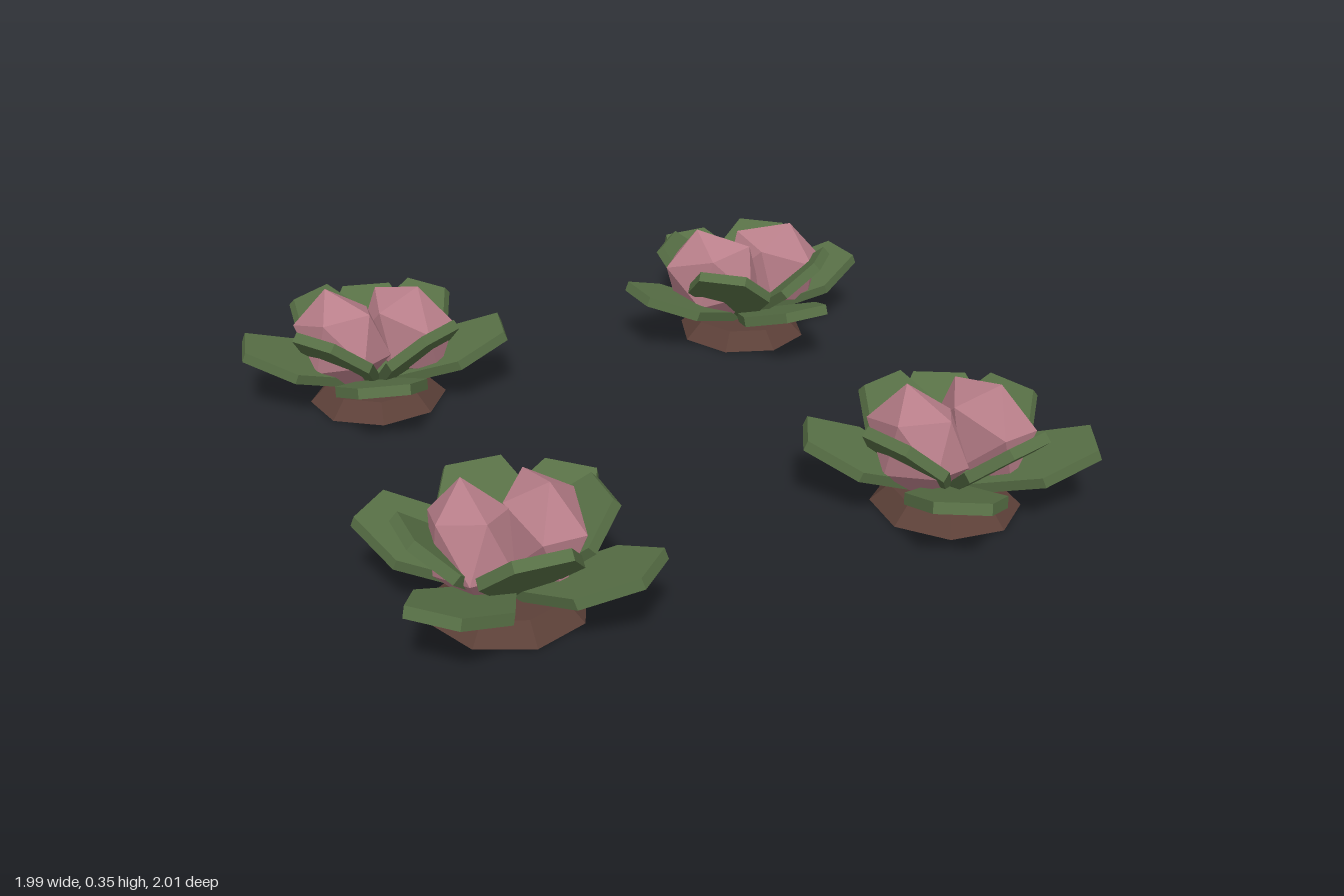
import * as THREE from 'three';

const rad = THREE.MathUtils.degToRad;
const material = (name, color) => {
  const m = new THREE.MeshStandardMaterial({ color, flatShading: true });
  m.name = name;
  return m;
};

// Flat six-sided leaf growing out from the centre toward +z and rising by `tilt` degrees
function leafGeometry(length, widestAt, tilt) {
  const thickness = 0.03;
  const shape = new THREE.Shape([
    [-0.03, 0], [0.03, 0], [0.13, widestAt], [0.072, length], [-0.072, length], [-0.13, widestAt],
  ].map(([x, y]) => new THREE.Vector2(x, y)));
  const g = new THREE.ExtrudeGeometry(shape, { depth: thickness, bevelEnabled: false });
  g.translate(0, 0, -thickness);
  g.rotateX(rad(90 - tilt));
  g.translate(0, 0.04, 0.03);
  return g;
}

// Faceted bud, long along z, with a ridge on top
function budGeometry(pitch) {
  const g = new THREE.IcosahedronGeometry(1, 0);
  g.rotateY(Math.PI / 2);
  g.scale(0.108, 0.155, 0.165);
  g.rotateX(rad(pitch));
  return g;
}

export function createModel() {
  const green = material('leaf green', 0x587046);
  const pink = material('bud pink', 0xb97f8a);
  const brown = material('soil brown', 0x5c4038);

  const outerLeaf = leafGeometry(0.38, 0.225, 21.5);
  const innerLeaf = leafGeometry(0.32, 0.2, 43);
  const buds = [budGeometry(14), budGeometry(-14)];
  const mound = new THREE.CylinderGeometry(0.15, 0.2, 0.05, 8);
  mound.translate(0, 0.025, 0);

  const model = new THREE.Group();
  model.name = 'plantPatch';

  // Position, turn of the leaves, turn of the buds and half the gap between buds
  const plants = [
    { x: -0.608, z: -0.587, turn: -11.5, budTurn: 33, gap: 0.098 },
    { x: 0.605, z: -0.613, turn: 5, budTurn: 53, gap: 0.105 },
    { x: -0.632, z: 0.658, turn: 45, budTurn: 3, gap: 0.09 },
    { x: 0.605, z: 0.63, turn: -27, budTurn: 12, gap: 0.1 },
  ];

  for (const p of plants) {
    const plant = new THREE.Group();
    plant.name = 'plant';
    plant.position.set(p.x, 0, p.z);

    const add = (name, geometry, mat, turn) => {
      const mesh = new THREE.Mesh(geometry, mat);
      mesh.name = name;
      mesh.rotation.y = rad(turn);
      plant.add(mesh);
      return mesh;
    };

    add('soilMound', mound, brown, p.turn);

    // Low outer leaves with steeper inner leaves between them
    for (let i = 0; i < 4; i++) {
      add('outerLeaf', outerLeaf, green, p.turn + i * 90);
      add('innerLeaf', innerLeaf, green, p.turn + 45 + i * 90);
    }

    // Pair of buds side by side
    [-1, 1].forEach((side, i) => {
      add('bud', buds[i], pink, p.budTurn).position.set(side * p.gap, 0.2, 0);
    });

    model.add(plant);
  }
  return model;
}
